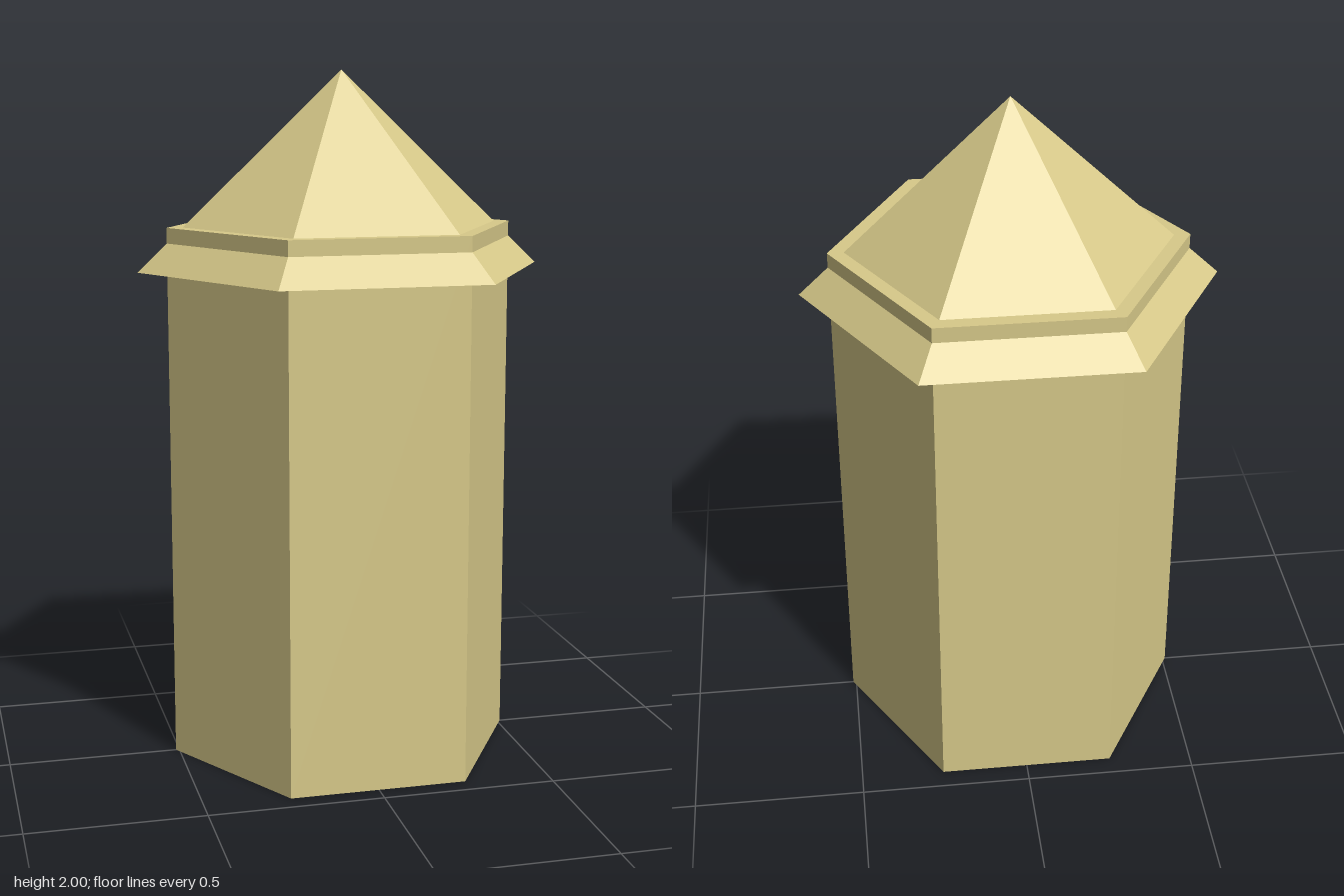
import * as THREE from 'three';

const SIDES = 6;

export function createModel() {
  const group = new THREE.Group();
  group.name = 'hexagonalTower';
  const material = new THREE.MeshStandardMaterial({ color: 0xd8ca8a, flatShading: true });

  // Six-sided solid with corners on the x axis, standing on height y0
  function addHex(name, bottomRadius, topRadius, y0, y1) {
    const geometry = topRadius > 0
      ? new THREE.CylinderGeometry(topRadius, bottomRadius, y1 - y0, SIDES)
      : new THREE.ConeGeometry(bottomRadius, y1 - y0, SIDES);
    geometry.rotateY(Math.PI / SIDES);
    geometry.translate(0, (y0 + y1) / 2, 0);
    const mesh = new THREE.Mesh(geometry, material);
    mesh.name = name;
    group.add(mesh);
  }

  // Straight shaft, whose rim pokes through the roof as a parapet
  addHex('shaft', 0.51, 0.51, 0, 1.56);
  // Pyramid roof with overhanging eaves
  addHex('roof', 0.595, 0, 1.435, 2);

  return group;
}
